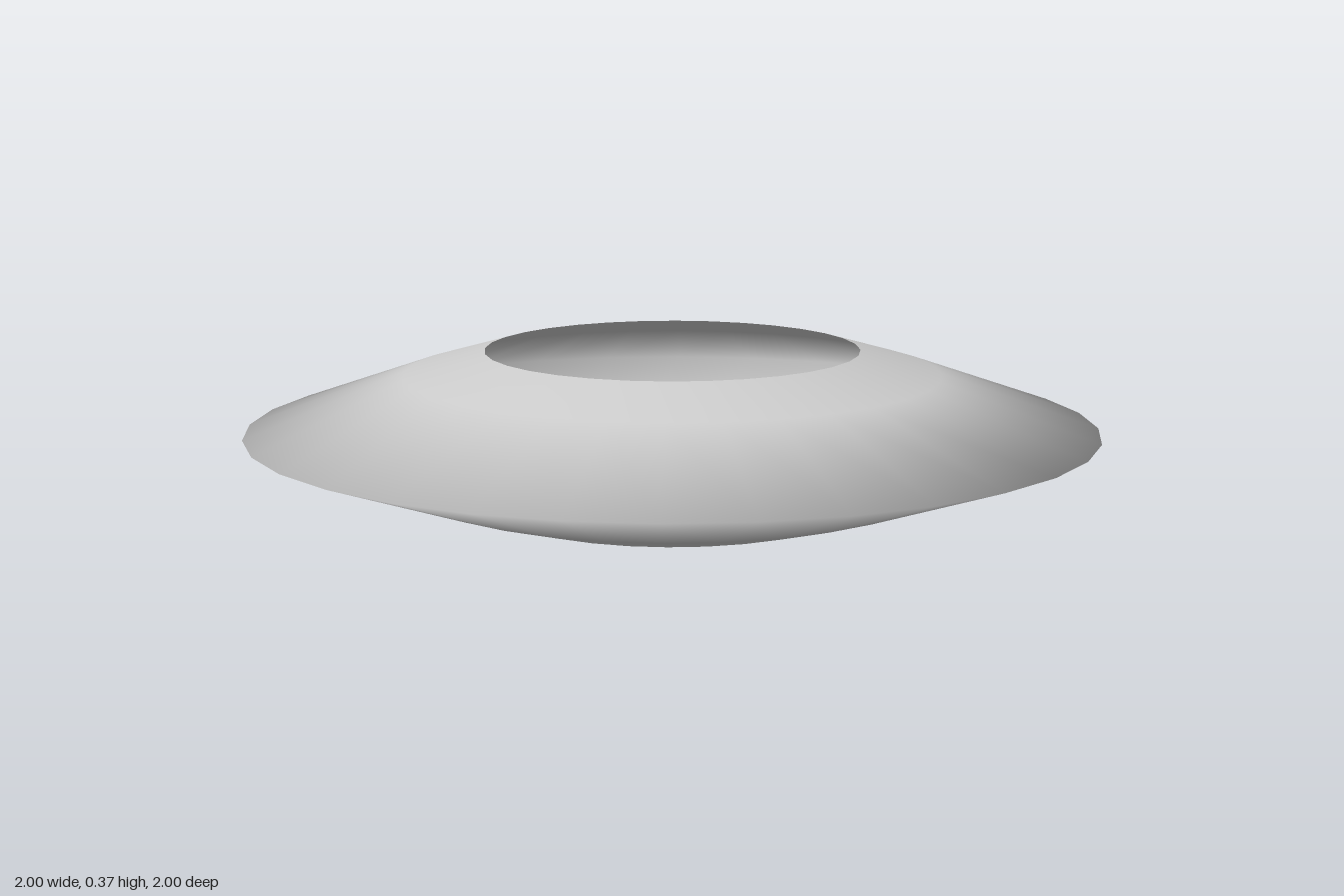
import * as THREE from 'three';

export function createModel() {
  const group = new THREE.Group();
  group.name = 'ring';

  // Half profile from lower hole edge, round the sharp rim, to the upper hole edge
  const profile = [
    [0.44, 0],
    [0.63, 0.055],
    [1, 0.185],
    [0.63, 0.315],
    [0.44, 0.37],
  ].map(([r, y]) => new THREE.Vector2(r, y));

  // Hollow shell, open towards the central hole
  const shell = new THREE.Mesh(
    new THREE.LatheGeometry(profile, 32),
    new THREE.MeshStandardMaterial({ color: 0xcccccc, side: THREE.DoubleSide })
  );
  shell.name = 'ringShell';
  group.add(shell);

  return group;
}
